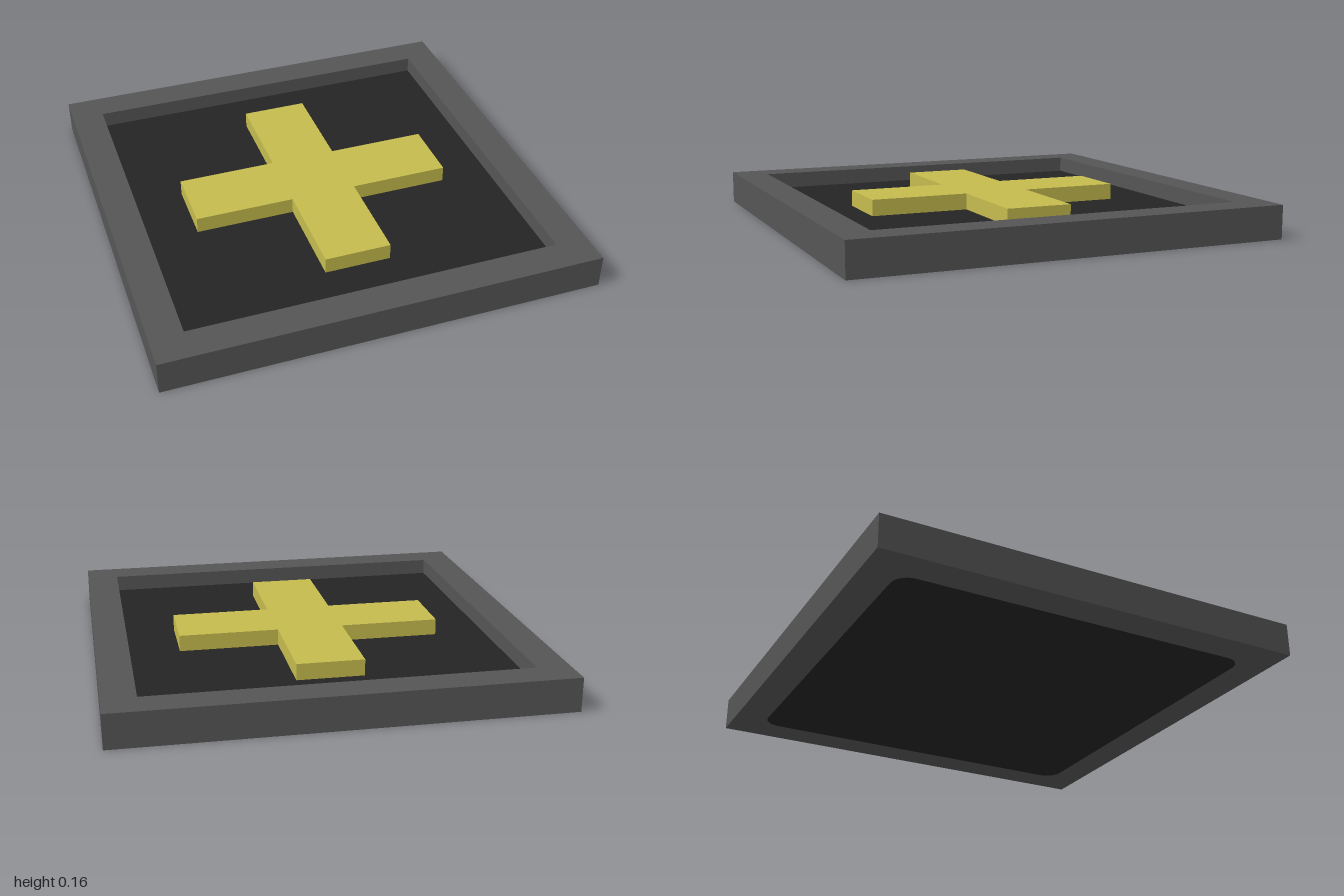
import * as THREE from 'three';

const HEIGHT = 0.155, FLOOR = 0.08, LIP = 0.04;
const OUTER = 1, INNER = 0.85;

// Square outline with half-size h and optional rounded corners
function square(h, r = 0, Type = THREE.Shape) {
  const s = new Type();
  if (!r) {
    return s.setFromPoints([[-h, -h], [h, -h], [h, h], [-h, h], [-h, -h]].map(([x, y]) => new THREE.Vector2(x, y)));
  }
  const k = h - r, q = Math.PI / 2;
  s.absarc(k, k, r, 0, q);
  s.absarc(-k, k, r, q, 2 * q);
  s.absarc(-k, -k, r, 2 * q, 3 * q);
  s.absarc(k, -k, r, 3 * q, 4 * q);
  s.closePath();
  return s;
}

// Flat slab lying between heights y0 and y1
function slab(name, shape, y0, y1, material) {
  const geometry = new THREE.ExtrudeGeometry(shape, { depth: y1 - y0, bevelEnabled: false, curveSegments: 6 });
  geometry.rotateX(-Math.PI / 2).translate(0, y0, 0);
  const mesh = new THREE.Mesh(geometry, material);
  mesh.name = name;
  return mesh;
}

export function createModel() {
  const grey = new THREE.MeshStandardMaterial({ name: 'frameGrey', color: 0x555555 });
  const black = new THREE.MeshStandardMaterial({ name: 'panelBlack', color: 0x242424 });
  const yellow = new THREE.MeshStandardMaterial({ name: 'crossYellow', color: 0xc4bb4d });
  const model = new THREE.Group();
  model.name = 'crossTile';

  // Frame: rounded opening underneath, square opening above
  const lowerFrame = square(OUTER);
  lowerFrame.holes.push(square(INNER, 0.08, THREE.Path));
  const upperFrame = square(OUTER);
  upperFrame.holes.push(square(INNER, 0, THREE.Path));
  const frame = new THREE.Group();
  frame.name = 'frame';
  frame.add(
    slab('lowerFrame', lowerFrame, 0, LIP, grey),
    slab('upperFrame', upperFrame, LIP, HEIGHT, grey),
  );

  // Recessed panel with its underside flush with the frame
  const panel = new THREE.Group();
  panel.name = 'panel';
  panel.add(
    slab('panelUnderside', square(INNER, 0.08), 0, LIP, black),
    slab('panelFloor', square(INNER), LIP, FLOOR, black),
  );

  // Raised cross, one arm outline turned four times
  const a = 0.153, b = 0.613;
  const points = [];
  for (let i = 0; i < 4; i++) {
    for (const [x, y] of [[b, -a], [b, a], [a, a]]) {
      points.push(new THREE.Vector2(x, y).rotateAround(new THREE.Vector2(), i * Math.PI / 2));
    }
  }
  const cross = slab('cross', new THREE.Shape(points), FLOOR, HEIGHT, yellow);

  model.add(frame, panel, cross);
  return model;
}
